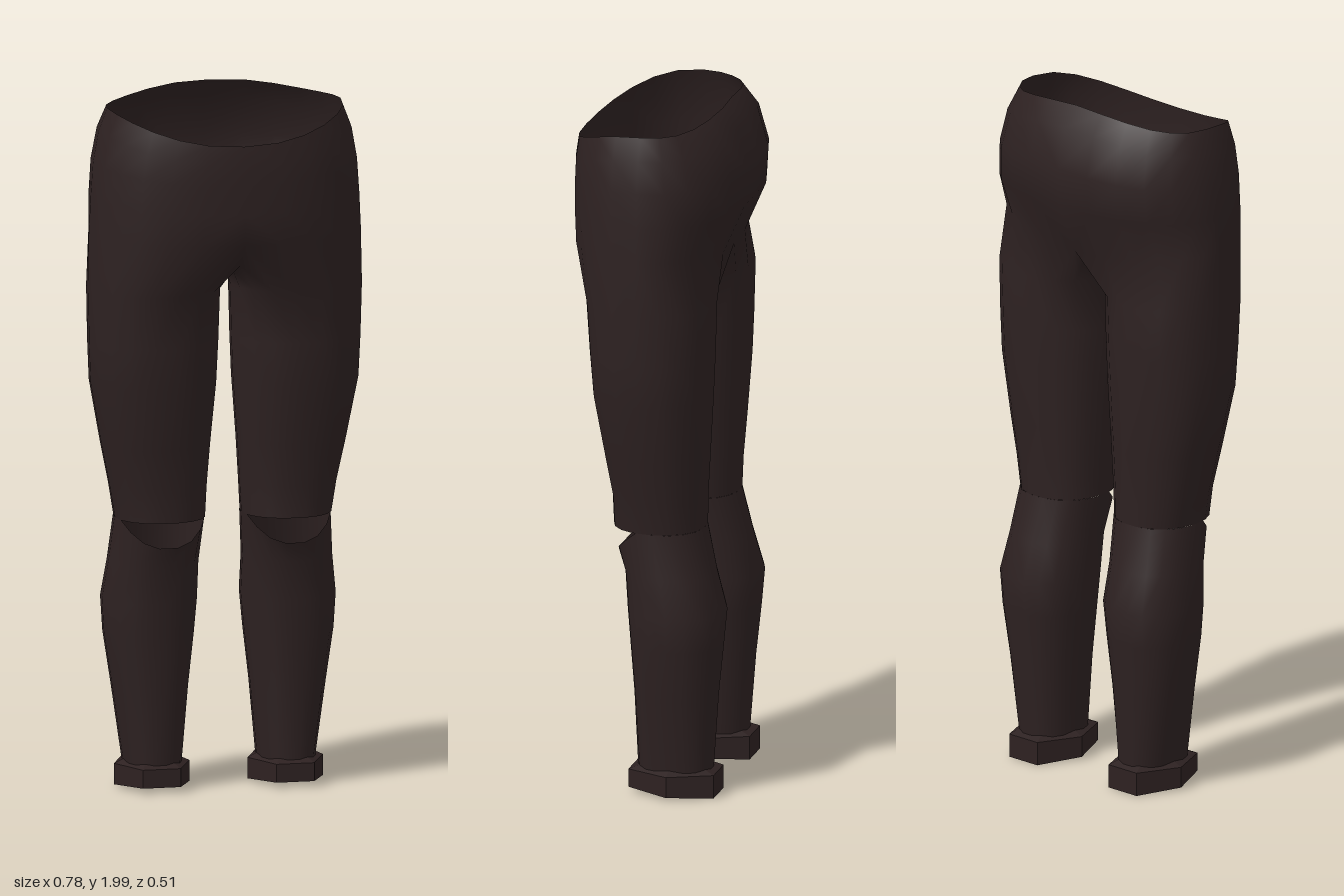
import * as THREE from 'three';
import { mergeGeometries, mergeVertices } from 'three/addons/utils/BufferGeometryUtils.js';

const cloth = new THREE.MeshStandardMaterial({ color: 0x2d2121, side: THREE.DoubleSide });
cloth.name = 'dark brown cloth';

const ARC = 13;      // points from front centre round the hip to back centre
const LOOP = 18;     // points round a whole leg
const soft = (v, p = 0.9) => Math.sign(v) * Math.abs(v) ** p;

// Joins cross-sections, listed from top to bottom, into a smooth-able skin
function loft(rings, closed, flip = false) {
  const n = rings[0].length;
  const pos = rings.flat().flatMap(([x, y, z]) => [flip ? -x : x, y, z]);
  const index = [];
  for (let j = 0; j < rings.length - 1; j++) {
    for (let i = 0; i < (closed ? n : n - 1); i++) {
      const a = j * n + i, b = j * n + (i + 1) % n, c = a + n, d = b + n;
      index.push(...(flip ? [a, d, c, a, b, d] : [a, c, d, a, d, b]));
    }
  }
  const geo = new THREE.BufferGeometry();
  geo.setAttribute('position', new THREE.Float32BufferAttribute(pos, 3));
  geo.setIndex(index);
  return geo;
}

// Half of a hip section: heights at front, side and back, then width and depths
function hipRing([yF, yS, yB, xo, zf, zb]) {
  return Array.from({ length: ARC }, (_, i) => {
    const t = (i / (ARC - 1)) * Math.PI, c = Math.cos(t);
    const y = c > 0 ? yS + (yF - yS) * c * c : yS + (yB - yS) * c ** 4;
    const seam = i === ARC - 1 ? 0.97 : 1;
    const x = i === 0 || i === ARC - 1 ? 0 : xo * soft(Math.sin(t));
    return [x, y, c > 0 ? zf * soft(c) : zb * soft(-c) * seam];
  });
}

// Leg section: height, inner x, outer x, front z, back z, and dip of the front edge
function legRing([y, xi, xo, zf, zb, dip = 0]) {
  return Array.from({ length: LOOP }, (_, i) => {
    const a = THREE.MathUtils.degToRad(-30 + 20 * i), c = Math.cos(a);
    return [
      (xi + xo) / 2 + ((xo - xi) / 2) * soft(Math.sin(a)),
      y - dip * Math.max(0, (c - 0.4) / 0.6),
      (zf + zb) / 2 + ((zf - zb) / 2) * soft(c),
    ];
  });
}

// Six-sided cuff section; the hem drops slightly toward the back
function cuffRing([y, s, slope]) {
  return Array.from({ length: 6 }, (_, i) => {
    const a = THREE.MathUtils.degToRad(30 + 60 * i);
    const z = 0.143 * s * Math.cos(a);
    return [0.193 + 0.109 * s * Math.sin(a), y + slope * z, -0.065 + z];
  });
}

export function createModel() {
  const group = new THREE.Group();
  group.name = 'trousers';
  const add = (name, geo) => {
    const mesh = new THREE.Mesh(geo, cloth);
    mesh.name = name;
    group.add(mesh);
  };

  // Hips, from the open waist to the top of the legs
  const hips = [
    [1.885, 1.965, 2.0, 0.337, 0.25, -0.18],
    [1.83, 1.9, 1.945, 0.362, 0.257, -0.228],
    [1.77, 1.81, 1.83, 0.378, 0.258, -0.259],
    [1.69, 1.71, 1.72, 0.385, 0.257, -0.251],
    [1.60, 1.61, 1.57, 0.39, 0.252, -0.187],
  ].map(hipRing);

  // Centre seam under the crotch, back to front
  const crotch = [[0, 1.535, -0.14], [0, 1.51, -0.07], [0, 1.5, 0.02], [0, 1.505, 0.11], [0, 1.535, 0.2]];

  // Thighs, down to the flat hem above the knee
  const thigh = [
    [1.45, 0.018, 0.392, 0.185, -0.18],
    [1.3, 0.022, 0.389, 0.175, -0.176],
    [1.18, 0.027, 0.384, 0.165, -0.171],
    [1.0, 0.042, 0.35, 0.135, -0.16],
    [0.88, 0.05, 0.325, 0.115, -0.152],
    [0.79, 0.055, 0.31, 0.113, -0.15],
  ].map(legRing);
  thigh.unshift([...hips[hips.length - 1], ...crotch]);

  const upper = [false, true].flatMap((flip) => [loft(hips, false, flip), loft(thigh, true, flip)]);
  const upperGeo = mergeVertices(mergeGeometries(upper), 1e-4);
  upperGeo.computeVertexNormals();
  add('hipsAndThighs', upperGeo);

  // Lower legs, with the front edge dipping to leave the torn knee open
  const shin = [
    [0.79, 0.055, 0.31, 0.1, -0.15, 0.075],
    [0.66, 0.066, 0.321, 0.077, -0.18],
    [0.55, 0.066, 0.335, 0.068, -0.211],
    [0.45, 0.075, 0.329, 0.06, -0.202],
    [0.3, 0.092, 0.306, 0.05, -0.187],
    [0.08, 0.112, 0.274, 0.042, -0.172],
  ].map(legRing);

  // Turned-up cuffs, open at the ankle
  const cuff = [
    [0.092, 0.72, 0], [0.078, 1, 0], [0.018, 1, 0.06], [0.016, 0.7, 0.06], [0.07, 0.66, 0],
  ].map(cuffRing);

  for (const flip of [false, true]) {
    const side = flip ? 'right' : 'left';
    const shinGeo = loft(shin, true, flip);
    shinGeo.computeVertexNormals();
    add(side + 'LowerLeg', shinGeo);
    const cuffGeo = loft(cuff, true, flip).toNonIndexed();
    cuffGeo.computeVertexNormals();
    add(side + 'Cuff', cuffGeo);
  }
  return group;
}
